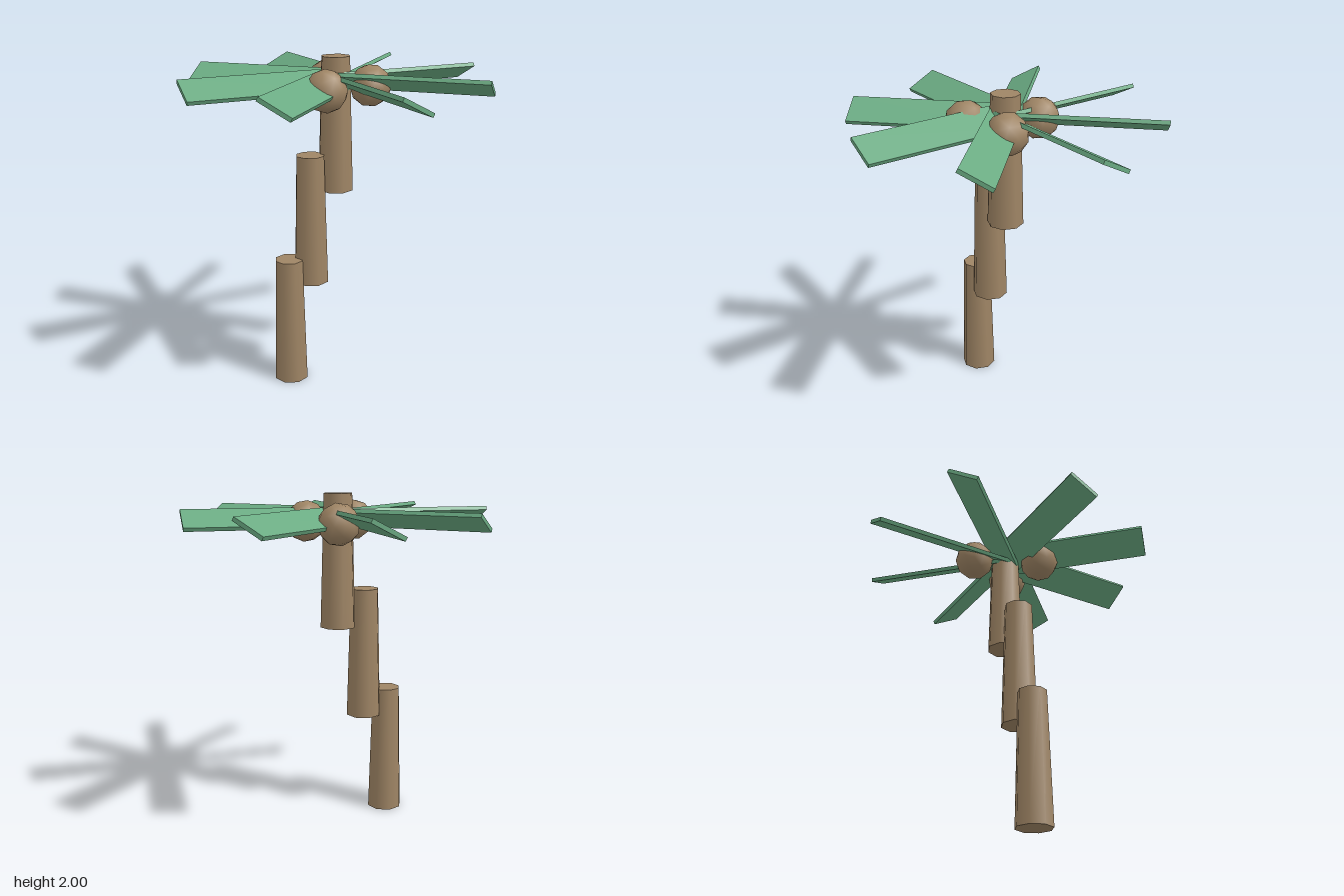
import * as THREE from 'three';

export function createModel() {
  const model = new THREE.Group();
  model.name = 'palmTree';
  const bark = new THREE.MeshStandardMaterial({ color: 0x9f8565 });
  bark.name = 'brown bark';
  const green = new THREE.MeshStandardMaterial({ color: 0x6bab83 });
  green.name = 'leaf green';

  const add = (parent, name, geometry, material, x, y, z) => {
    const mesh = new THREE.Mesh(geometry, material);
    mesh.name = name;
    mesh.position.set(x, y, z);
    parent.add(mesh);
    return mesh;
  };

  // Trunk: three stepped, tapering segments
  const trunk = new THREE.CylinderGeometry(0.087, 0.109, 0.797, 8);
  [[-0.312, 0.3985], [-0.165, 1.0325], [0.002, 1.6015]].forEach(([x, y], i) =>
    add(model, `trunkSegment${i + 1}`, trunk, bark, x, y, 0));

  // Crown: eight flat leaves, each twisted about its own length
  const length = 0.911;
  const leaf = new THREE.BoxGeometry(0.2, 0.024, length);
  for (let i = 0; i < 8; i++) {
    const pivot = new THREE.Group();
    pivot.name = `leafPivot${i + 1}`;
    pivot.rotation.y = (i * Math.PI) / 4;
    add(pivot, 'leaf', leaf, green, 0, 1.859, length / 2).rotation.z = -0.48;
    model.add(pivot);
  }

  // Coconuts around the top of the trunk
  const coconut = new THREE.IcosahedronGeometry(0.123, 1);
  [[-0.142, 0.173], [0.17, 0.112], [0.053, -0.2]].forEach(([x, z], i) =>
    add(model, `coconut${i + 1}`, coconut, bark, x, 1.833, z).rotation.set(0.3, i * 2.1, 0.3));

  return model;
}
